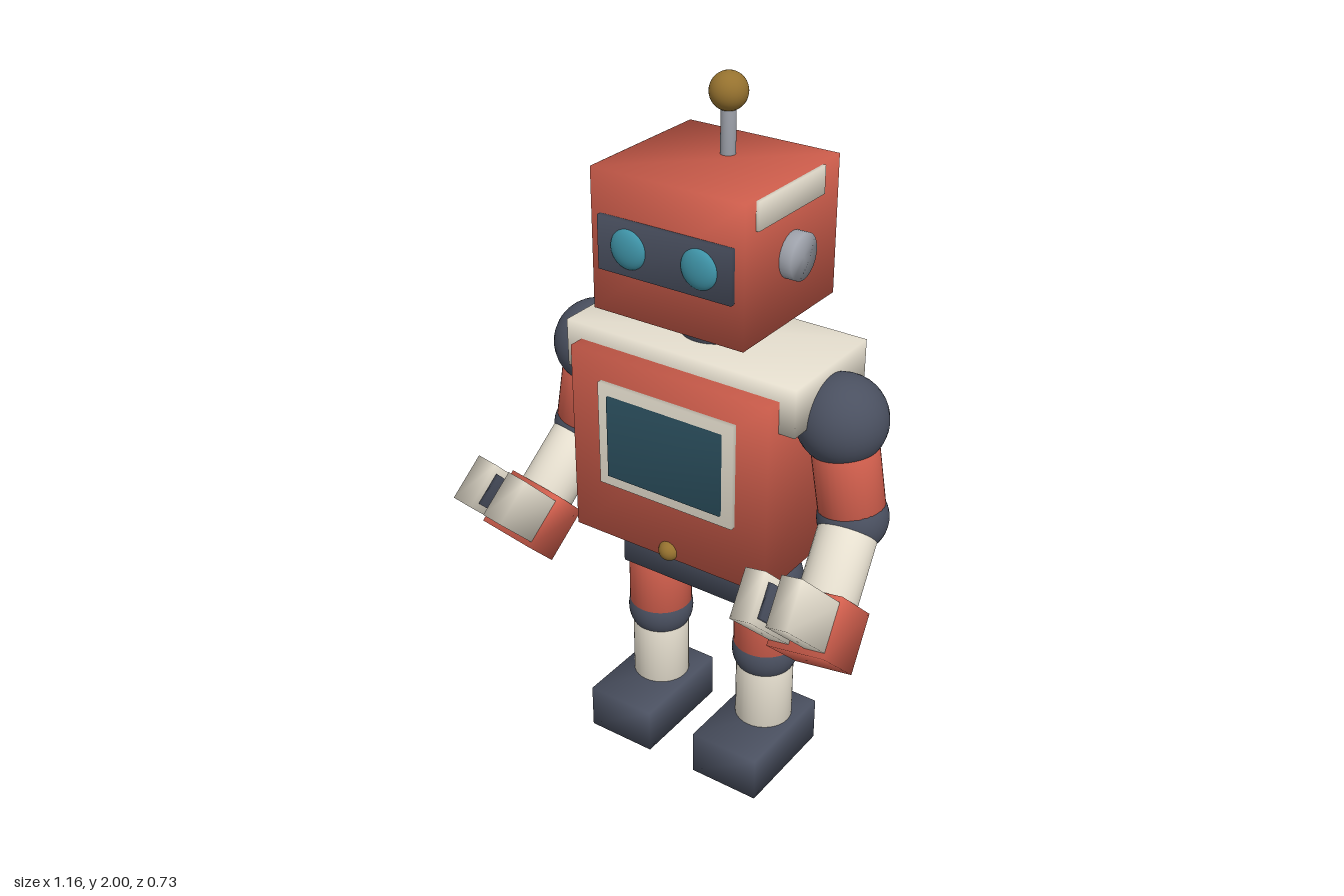
import * as THREE from 'three';
import { mergeVertices } from 'three/addons/utils/BufferGeometryUtils.js';

const mat = (color) => new THREE.MeshStandardMaterial({ color });
const RED = mat(0xd4604e), CREAM = mat(0xe6dfcf), DARK = mat(0x4a5060), SILVER = mat(0x9da1aa);
const BRASS = mat(0x96722f), TEAL = mat(0x3f94a8), SCREEN = mat(0x2b4f5e);
const MID = -0.115; // z of the body's centre plane

// Shares corner vertices so normals blend softly over the edges
function soften(geometry) {
  geometry.deleteAttribute('normal');
  geometry.deleteAttribute('uv');
  const merged = mergeVertices(geometry);
  merged.computeVertexNormals();
  return merged;
}

function add(parent, name, geometry, material, x, y, z) {
  const mesh = new THREE.Mesh(geometry, material);
  mesh.name = name;
  mesh.position.set(x, y, z);
  parent.add(mesh);
  return mesh;
}

// Box given by its [min, max] on each axis
function box(parent, name, material, [x0, x1], [y0, y1], [z0, z1]) {
  const geometry = soften(new THREE.BoxGeometry(x1 - x0, y1 - y0, z1 - z0));
  return add(parent, name, geometry, material, (x0 + x1) / 2, (y0 + y1) / 2, (z0 + z1) / 2);
}

function ball(parent, name, material, r, x, y, z) {
  return add(parent, name, new THREE.SphereGeometry(r, 32, 20), material, x, y, z);
}

// Upright cylinder from y0 to y1
function rod(parent, name, material, r, y0, y1, x = 0, z = 0) {
  const geometry = soften(new THREE.CylinderGeometry(r, r, y1 - y0, 32));
  return add(parent, name, geometry, material, x, (y0 + y1) / 2, z);
}

function group(parent, name, x = 0, y = 0, z = 0) {
  const g = new THREE.Group();
  g.name = name;
  g.position.set(x, y, z);
  parent.add(g);
  return g;
}

function buildHead(model) {
  const head = group(model, 'head');
  box(head, 'skull', RED, [-0.228, 0.228], [1.41, 1.79], [-0.33, 0.1]);
  box(head, 'visor', DARK, [-0.2, 0.2], [1.53, 1.675], [0.08, 0.114]);
  box(head, 'backPlate', CREAM, [-0.147, 0.147], [1.475, 1.705], [-0.338, -0.31]);
  for (const s of [-1, 1]) {
    ball(head, 'eye', TEAL, 0.054, s * 0.106, 1.603, 0.11).scale.z = 0.43;
    const ear = rod(head, 'ear', SILVER, 0.062, -0.04, 0.04);
    ear.rotation.z = Math.PI / 2;
    ear.position.set(s * 0.222, 1.593, MID);
    box(head, 'sidePlate', CREAM, [s * 0.222 - 0.015, s * 0.222 + 0.015], [1.71, 1.785], [-0.248, 0.055]);
  }
  rod(head, 'antenna', SILVER, 0.02, 1.78, 1.93, 0, -0.168);
  ball(head, 'antennaTip', BRASS, 0.05, 0, 1.95, -0.168);
  rod(model, 'neck', DARK, 0.09, 1.3, 1.43, 0, MID);
}

function buildTorso(model) {
  const torso = group(model, 'torso');
  box(torso, 'chest', RED, [-0.31, 0.31], [0.725, 1.28], [-0.333, 0.103]);
  box(torso, 'shoulderYoke', CREAM, [-0.357, 0.357], [1.19, 1.325], [-0.29, 0.058]);
  box(torso, 'screenFrame', CREAM, [-0.213, 0.213], [0.9, 1.205], [0.08, 0.118]);
  box(torso, 'screen', SCREEN, [-0.18, 0.18], [0.933, 1.173], [0.09, 0.126]);
  ball(torso, 'button', BRASS, 0.03, 0, 0.746, 0.096);
  // Back panel with vents and a knob
  box(torso, 'backPanel', CREAM, [-0.21, 0.21], [0.86, 1.2], [-0.34, -0.31]);
  for (const y of [0.945, 1.033, 1.12]) {
    box(torso, 'vent', DARK, [-0.145, 0.145], [y - 0.014, y + 0.014], [-0.351, -0.32]);
  }
  ball(torso, 'knob', BRASS, 0.03, 0.15, 1.193, -0.338);
  // Pelvis
  box(torso, 'pelvis', DARK, [-0.205, 0.205], [0.598, 0.74], [-0.256, 0.03]);
  ball(torso, 'pelvisBall', CREAM, 0.112, 0, 0.642, MID);
}

function buildLeg(model, s) {
  const leg = group(model, s > 0 ? 'leftLeg' : 'rightLeg', s * 0.184, 0, MID);
  ball(leg, 'hip', DARK, 0.101, 0, 0.62, 0);
  rod(leg, 'thigh', RED, 0.092, 0.38, 0.6);
  ball(leg, 'knee', DARK, 0.096, 0, 0.37, 0);
  rod(leg, 'shin', CREAM, 0.083, 0.12, 0.36);
  box(leg, 'foot', DARK, [-0.106, 0.106], [0, 0.136], [-0.12, 0.21]);
}

function buildArm(model, s) {
  const arm = group(model, s > 0 ? 'leftArm' : 'rightArm', s * 0.393, 1.18, MID);
  arm.rotation.z = s * 0.17;
  ball(arm, 'shoulder', DARK, 0.122, 0, 0, 0);
  rod(arm, 'upperArm', RED, 0.09, -0.25, -0.05);
  // Bent forearm
  const forearm = group(arm, 'forearm', 0, -0.28, 0);
  forearm.rotation.x = -0.785;
  ball(forearm, 'elbow', DARK, 0.096, 0, 0, 0);
  rod(forearm, 'lowerArm', CREAM, 0.081, -0.25, -0.03);
  // Hand with two padded fingers pointing up and forward
  const hand = group(forearm, 'hand', 0, -0.312, 0);
  box(hand, 'palm', RED, [-0.085, 0.085], [-0.083, 0.083], [-0.083, 0.083]);
  for (const f of [-1, 1]) {
    box(hand, 'finger', CREAM, [f * 0.053 - 0.03, f * 0.053 + 0.03], [-0.067, 0.067], [0.07, 0.293]);
    box(hand, 'fingerPad', DARK, [f * 0.02 - 0.007, f * 0.02 + 0.007], [-0.047, 0.047], [0.1, 0.265]);
  }
}

export function createModel() {
  const model = new THREE.Group();
  model.name = 'robot';
  buildHead(model);
  buildTorso(model);
  for (const s of [-1, 1]) {
    buildLeg(model, s);
    buildArm(model, s);
  }
  return model;
}
